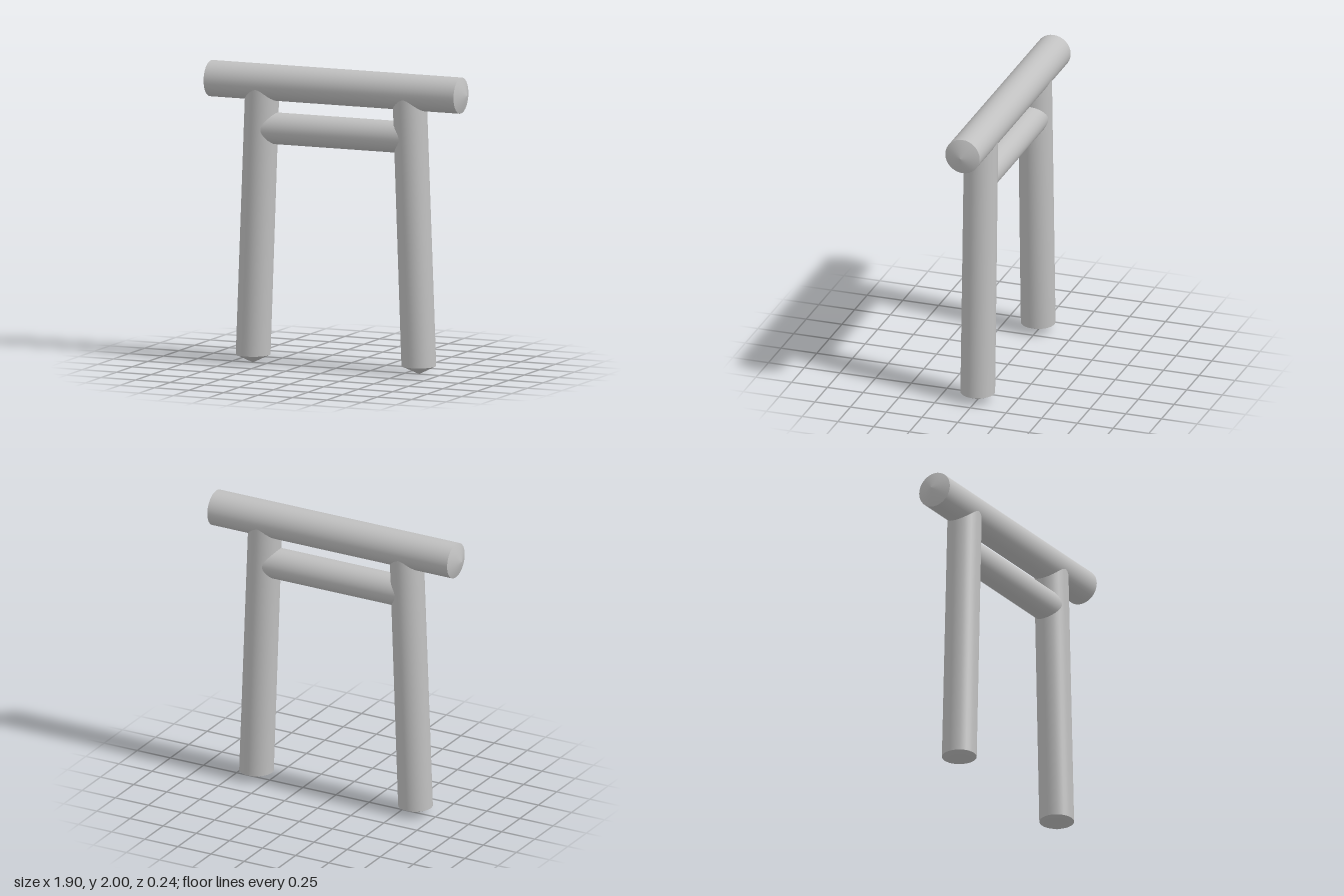
import * as THREE from 'three';
import { toCreasedNormals } from 'three/addons/utils/BufferGeometryUtils.js';

const SEGMENTS = 32;

// Round log along y, from a radius/height profile listed bottom to top
function logGeometry(profile) {
  const points = profile.map(([r, y]) => new THREE.Vector2(r, y));
  return new THREE.LatheGeometry(points, SEGMENTS);
}

export function createModel() {
  const gate = new THREE.Group();
  gate.name = 'gate';
  const stone = new THREE.MeshStandardMaterial({ color: 0xc0c0c0 });
  stone.name = 'grey stone';

  const add = (name, geometry) => {
    const mesh = new THREE.Mesh(toCreasedNormals(geometry, 0.6), stone);
    mesh.name = name;
    gate.add(mesh);
    return mesh;
  };

  // Top beam with shallow conical ends
  const beam = logGeometry([[0, -0.95], [0.12, -0.905], [0.12, 0.905], [0, 0.95]]);
  add('topBeam', beam.rotateZ(Math.PI / 2).translate(0, 1.88, 0));

  // Tie bar running into both posts
  const tie = logGeometry([[0, -0.56], [0.105, -0.54], [0.105, 0.54], [0, 0.56]]);
  add('tieBar', tie.rotateZ(Math.PI / 2).translate(0, 1.575, 0));

  // Posts lean inward; a shear keeps their feet level
  for (const side of [1, -1]) {
    const post = logGeometry([[0, 0], [0.115, 0.055], [0.113, 1.86], [0, 1.9]]);
    const lean = new THREE.Matrix4().set(
      1, -0.037 * side, 0, 0.602 * side,
      0, 1, 0, 0,
      0, 0, 1, 0,
      0, 0, 0, 1,
    );
    add(side > 0 ? 'leftPost' : 'rightPost', post.applyMatrix4(lean));
  }

  return gate;
}
